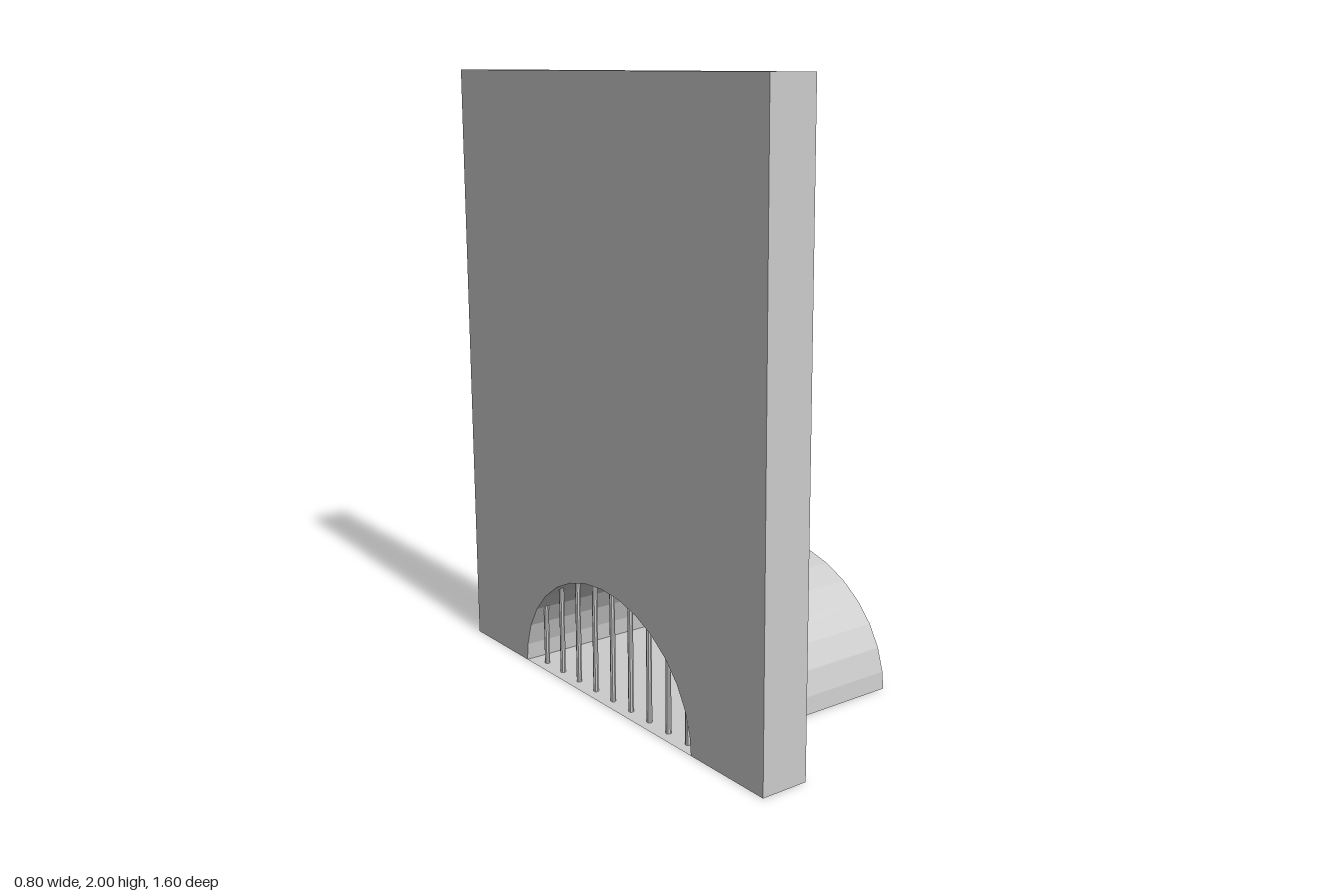
import * as THREE from 'three';

const material = new THREE.MeshStandardMaterial({ color: 0xcccccc, flatShading: true, side: THREE.DoubleSide });

const BACK = -0.4, FRONT = 0.4;            // extent along x
const WALL_DEPTH = 0.16, HEIGHT = 2, HALF = 0.8;
const ARCH_HALF = 0.466, ARCH_HEIGHT = 0.39;

// Arch outline from (+half, 0) over the top to (-half, 0)
function archPoints() {
  const angles = [0];
  for (let i = 0; i < 15; i++) angles.push(8.5 + (i * 163) / 14);
  angles.push(180);
  return angles.map((deg) => {
    const a = THREE.MathUtils.degToRad(deg);
    return new THREE.Vector2(ARCH_HALF * Math.cos(a), ARCH_HEIGHT * Math.sin(a));
  });
}

// Flat outline standing in the plane x = const
function sheet(points, x) {
  return new THREE.ShapeGeometry(new THREE.Shape(points)).rotateY(-Math.PI / 2).translate(x, 0, 0);
}

// Closed outline swept along x, open at both ends
function sweep(points, x0, x1) {
  const pos = [];
  points.forEach((p, i) => {
    const q = points[(i + 1) % points.length];
    pos.push(x0, p.y, p.x, x0, q.y, q.x, x1, q.y, q.x);
    pos.push(x0, p.y, p.x, x1, q.y, q.x, x1, p.y, p.x);
  });
  const geo = new THREE.BufferGeometry();
  geo.setAttribute('position', new THREE.Float32BufferAttribute(pos, 3));
  geo.computeVertexNormals();
  return geo;
}

export function createModel() {
  const model = new THREE.Group();
  const add = (name, geometry, parent = model) => {
    const mesh = new THREE.Mesh(geometry, material);
    mesh.name = name;
    parent.add(mesh);
    return mesh;
  };
  const arch = archPoints();
  const wallX = BACK + WALL_DEPTH / 2;

  // Wall shell: pierced face, top and two sides, open at the bottom and toward the tunnel
  const wall = new THREE.Group();
  wall.name = 'wall';
  model.add(wall);
  const outline = [
    new THREE.Vector2(HALF, 0), ...arch,
    new THREE.Vector2(-HALF, 0), new THREE.Vector2(-HALF, HEIGHT), new THREE.Vector2(HALF, HEIGHT),
  ];
  add('wallFace', sheet(outline, BACK), wall);
  add('wallTop', new THREE.PlaneGeometry(WALL_DEPTH, HALF * 2).rotateX(-Math.PI / 2).translate(wallX, HEIGHT, 0), wall);
  for (const side of [1, -1]) {
    const end = new THREE.PlaneGeometry(WALL_DEPTH, HEIGHT);
    if (side < 0) end.rotateY(Math.PI);
    add('wallSide', end.translate(wallX, HEIGHT / 2, side * HALF), wall);
  }

  // Tunnel: vault with floor, closed at the far end
  const tunnel = new THREE.Group();
  tunnel.name = 'tunnel';
  model.add(tunnel);
  add('tunnelVault', sweep(arch, BACK, FRONT), tunnel);
  add('tunnelEnd', sheet(arch, FRONT).scale(1, 1, -1), tunnel);

  // Grate bars across the opening
  const grate = new THREE.Group();
  grate.name = 'grate';
  model.add(grate);
  const barGeometry = new THREE.CylinderGeometry(0.009, 0.009, 0.4, 8);
  for (let i = -4; i <= 4; i++) {
    add('grateBar', barGeometry, grate).position.set(-0.36, 0.2, i * 0.1);
  }
  return model;
}
